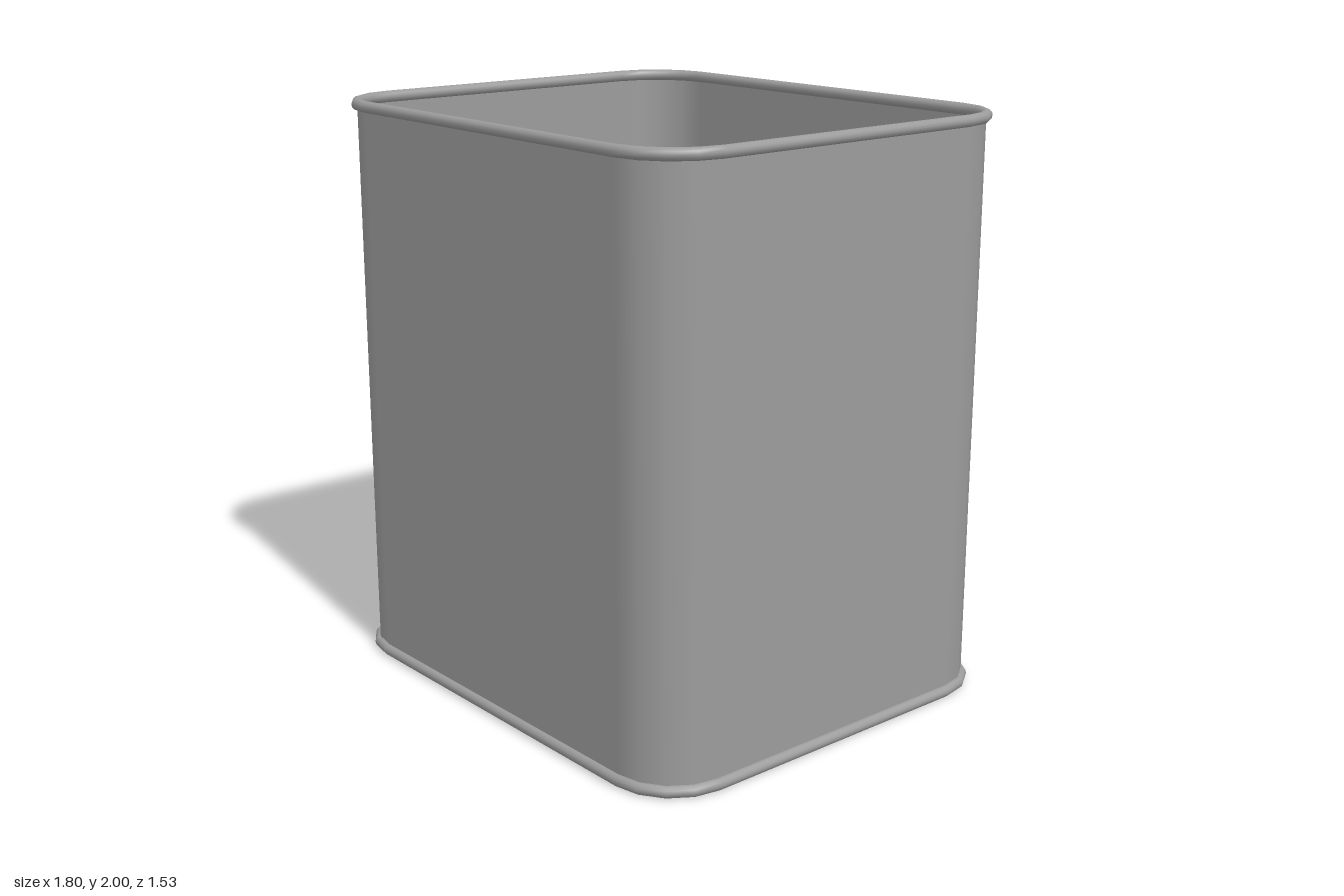
import * as THREE from 'three';

const HALF_X = 0.88, HALF_Z = 0.745, CORNER = 0.22, CORNER_STEPS = 4, BEAD = 0.02;
const COLOR = 0x9c9c9c;

// Rounded rectangle outline: points with their outward directions
function outline() {
  const points = [];
  const signs = [[1, 1], [-1, 1], [-1, -1], [1, -1]];
  signs.forEach(([sx, sz], q) => {
    for (let i = 0; i <= CORNER_STEPS; i++) {
      const a = (q + i / CORNER_STEPS) * Math.PI / 2;
      const nx = Math.cos(a), nz = Math.sin(a);
      points.push({
        x: sx * (HALF_X - CORNER) + CORNER * nx,
        z: sz * (HALF_Z - CORNER) + CORNER * nz,
        nx, nz,
      });
    }
  });
  return points;
}

// Sweep a profile of { out, y, no, ny } (offset, height, normal) around the outline
function sweep(profile) {
  const path = outline(), m = profile.length;
  const pos = [], nor = [], idx = [];
  for (const p of path) {
    for (const s of profile) {
      pos.push(p.x + p.nx * s.out, s.y, p.z + p.nz * s.out);
      nor.push(p.nx * s.no, s.ny, p.nz * s.no);
    }
  }
  for (let i = 0; i < path.length; i++) {
    const a = i * m, b = ((i + 1) % path.length) * m;
    for (let j = 0; j < m - 1; j++) {
      idx.push(a + j, a + j + 1, b + j, b + j, a + j + 1, b + j + 1);
    }
  }
  const geo = new THREE.BufferGeometry();
  geo.setAttribute('position', new THREE.Float32BufferAttribute(pos, 3));
  geo.setAttribute('normal', new THREE.Float32BufferAttribute(nor, 3));
  geo.setIndex(idx);
  return geo;
}

// Round bead profile centred on the wall
function beadProfile(y) {
  const sides = 12;
  return Array.from({ length: sides + 1 }, (_, i) => {
    const a = i / sides * Math.PI * 2, no = Math.cos(a), ny = Math.sin(a);
    return { out: BEAD * no, y: y + BEAD * ny, no, ny };
  });
}

export function createModel() {
  const group = new THREE.Group();
  const solid = new THREE.MeshStandardMaterial({ color: COLOR });
  const sheet = new THREE.MeshStandardMaterial({ color: COLOR, side: THREE.DoubleSide });
  const add = (name, geometry, material) => {
    const mesh = new THREE.Mesh(geometry, material);
    mesh.name = name;
    group.add(mesh);
    return mesh;
  };

  // Thin sheet wall
  add('wall', sweep([
    { out: 0, y: BEAD, no: 1, ny: 0 },
    { out: 0, y: 2 - BEAD, no: 1, ny: 0 },
  ]), sheet);

  // Rolled beads along the top and bottom edges
  add('topRim', sweep(beadProfile(2 - BEAD)), solid);
  add('bottomRim', sweep(beadProfile(BEAD)), solid);

  // Floor closing the bottom
  const shape = new THREE.Shape(outline().map(p => new THREE.Vector2(p.x, p.z)));
  add('floor', new THREE.ShapeGeometry(shape).rotateX(-Math.PI / 2), sheet).position.y = BEAD;

  return group;
}
